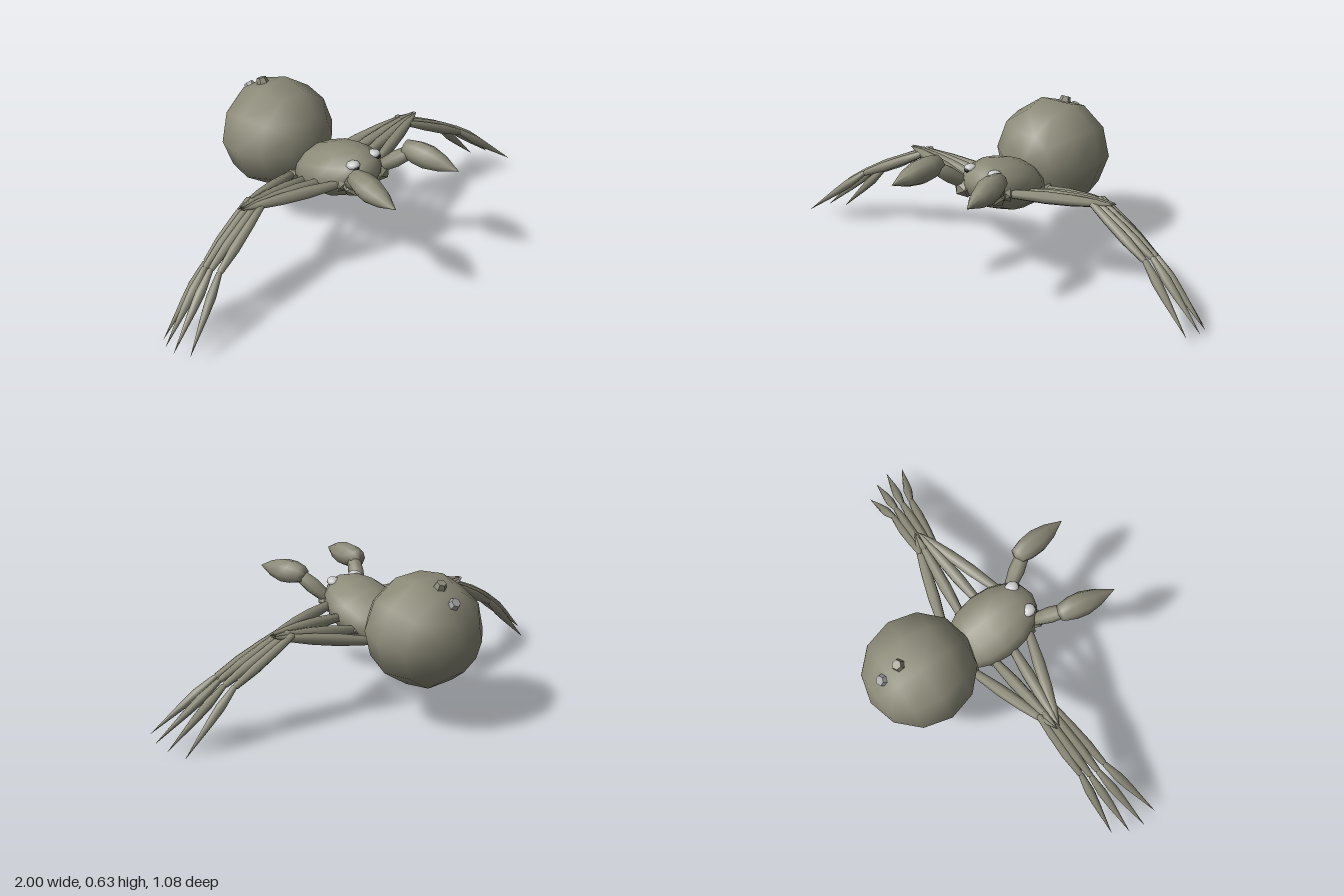
import * as THREE from 'three';

const skin = new THREE.MeshStandardMaterial({ color: 0x8c8a78 });
const pale = new THREE.MeshStandardMaterial({ color: 0xcccccc });
const dark = new THREE.MeshStandardMaterial({ color: 0x22221f });
const rough = new THREE.MeshStandardMaterial({ color: 0x8c8a78, flatShading: true });
const roughPale = new THREE.MeshStandardMaterial({ color: 0xa4a4a4, flatShading: true });
const UP = new THREE.Vector3(0, 1, 0);

function add(parent, name, geometry, material, pos = [0, 0, 0]) {
  const mesh = new THREE.Mesh(geometry, material);
  mesh.name = name;
  mesh.position.set(...pos);
  parent.add(mesh);
  return mesh;
}

// Low-poly ellipsoid with its poles along z, pitched about x
function ellipsoid(parent, name, pos, scale, pitch, sides, rings, material = skin) {
  const g = new THREE.SphereGeometry(1, sides, rings).rotateX(Math.PI / 2).scale(...scale);
  const mesh = add(parent, name, g, material, pos);
  mesh.rotation.x = pitch;
  return mesh;
}

// Lathed limb segment from a to b; profile holds [radius, fraction of length]
function limb(parent, name, a, b, profile, sides = 7) {
  const from = new THREE.Vector3(...a);
  const dir = new THREE.Vector3(...b).sub(from);
  const len = dir.length();
  const pts = profile.map(([r, t]) => new THREE.Vector2(r, t * len));
  const mesh = add(parent, name, new THREE.LatheGeometry(pts, sides), skin, a);
  mesh.quaternion.setFromUnitVectors(UP, dir.normalize());
  return mesh;
}

const THIGH = [[0, 0], [0.018, 0.03], [0.026, 0.35], [0.024, 0.6], [0.016, 0.82], [0, 1]];
const SHIN = [[0, 0], [0.014, 0.03], [0.019, 0.3], [0.021, 0.65], [0.013, 0.96], [0, 1]];
const FOOT = [[0, 0], [0.012, 0.03], [0.02, 0.3], [0.016, 0.5], [0, 1]];
const PALP = [[0, 0], [0.026, 0.05], [0.034, 0.5], [0.028, 0.95], [0, 1]];
const CLUB = [[0, 0], [0.036, 0.04], [0.05, 0.25], [0.052, 0.45], [0.036, 0.7], [0, 1]];

// Joint positions of the four legs on one side, front to back
const LEGS = [
  { hip: [0.1, 0.395, 0.17], knee: [0.43, 0.405, 0.06], ankle: [0.73, 0.255, 0.125], toe: [0.975, 0.05, 0.225] },
  { hip: [0.11, 0.37, 0.075], knee: [0.43, 0.41, 0.04], ankle: [0.74, 0.255, 0.085], toe: [0.998, 0.04, 0.155] },
  { hip: [0.11, 0.34, -0.015], knee: [0.43, 0.41, 0.012], ankle: [0.74, 0.245, 0.05], toe: [0.985, 0.025, 0.09] },
  { hip: [0.1, 0.315, -0.11], knee: [0.43, 0.405, -0.01], ankle: [0.71, 0.24, 0.02], toe: [0.945, 0.004, 0.028] },
];

export function createModel() {
  const model = new THREE.Group();
  model.name = 'spider';

  // Body
  ellipsoid(model, 'abdomen', [0, 0.4, -0.302], [0.245, 0.239, 0.239], -0.1, 10, 6);
  ellipsoid(model, 'thorax', [0, 0.378, 0.057], [0.152, 0.112, 0.215], -0.34, 12, 8);

  // Spinnerets on the upper rear of the abdomen
  const spinneret = new THREE.CylinderGeometry(0.02, 0.034, 0.05, 6);
  add(model, 'upperSpinneret', spinneret, rough, [0, 0.602, -0.388]).rotation.x = -0.4;
  add(model, 'lowerSpinneret', spinneret, roughPale, [0, 0.55, -0.463]).rotation.x = -0.8;

  for (const side of [1, -1]) {
    const at = ([x, y, z]) => [side * x, y, z];
    const label = side > 0 ? 'left' : 'right';

    // Eyes
    ellipsoid(model, label + 'Eye', at([0.06, 0.478, 0.198]), [0.028, 0.018, 0.03], -0.2, 10, 8, pale);
    ellipsoid(model, label + 'Pupil', at([0.064, 0.474, 0.218]), [0.014, 0.011, 0.013], 0, 8, 6, dark);

    // Faceted mouthpart and club-ended feeler
    const jaw = add(model, label + 'Jaw', new THREE.IcosahedronGeometry(0.046), rough, at([0.08, 0.395, 0.215]));
    jaw.rotation.y = side * 0.4;
    limb(model, label + 'FeelerArm', at([0.085, 0.405, 0.205]), at([0.155, 0.505, 0.325]), PALP, 8);
    limb(model, label + 'FeelerClub', at([0.152, 0.508, 0.28]), at([0.187, 0.488, 0.542]), CLUB, 8);

    // Legs
    LEGS.forEach(({ hip, knee, ankle, toe }, i) => {
      const leg = new THREE.Group();
      leg.name = label + 'Leg' + (i + 1);
      model.add(leg);
      // the thigh tapers to a spur past the knee
      const spur = knee.map((k, n) => k + (k - hip[n]) * 0.29);
      spur[1] = knee[1];
      add(leg, 'hip', new THREE.IcosahedronGeometry(0.036), rough, at(hip));
      limb(leg, 'thigh', at(hip), at(spur), THIGH);
      limb(leg, 'shin', at(knee), at(ankle), SHIN);
      // the foot overlaps the end of the shin
      const heel = ankle.map((v, n) => v - (toe[n] - v) * 0.05);
      limb(leg, 'foot', at(heel), at(toe), FOOT);
    });
  }
  return model;
}
